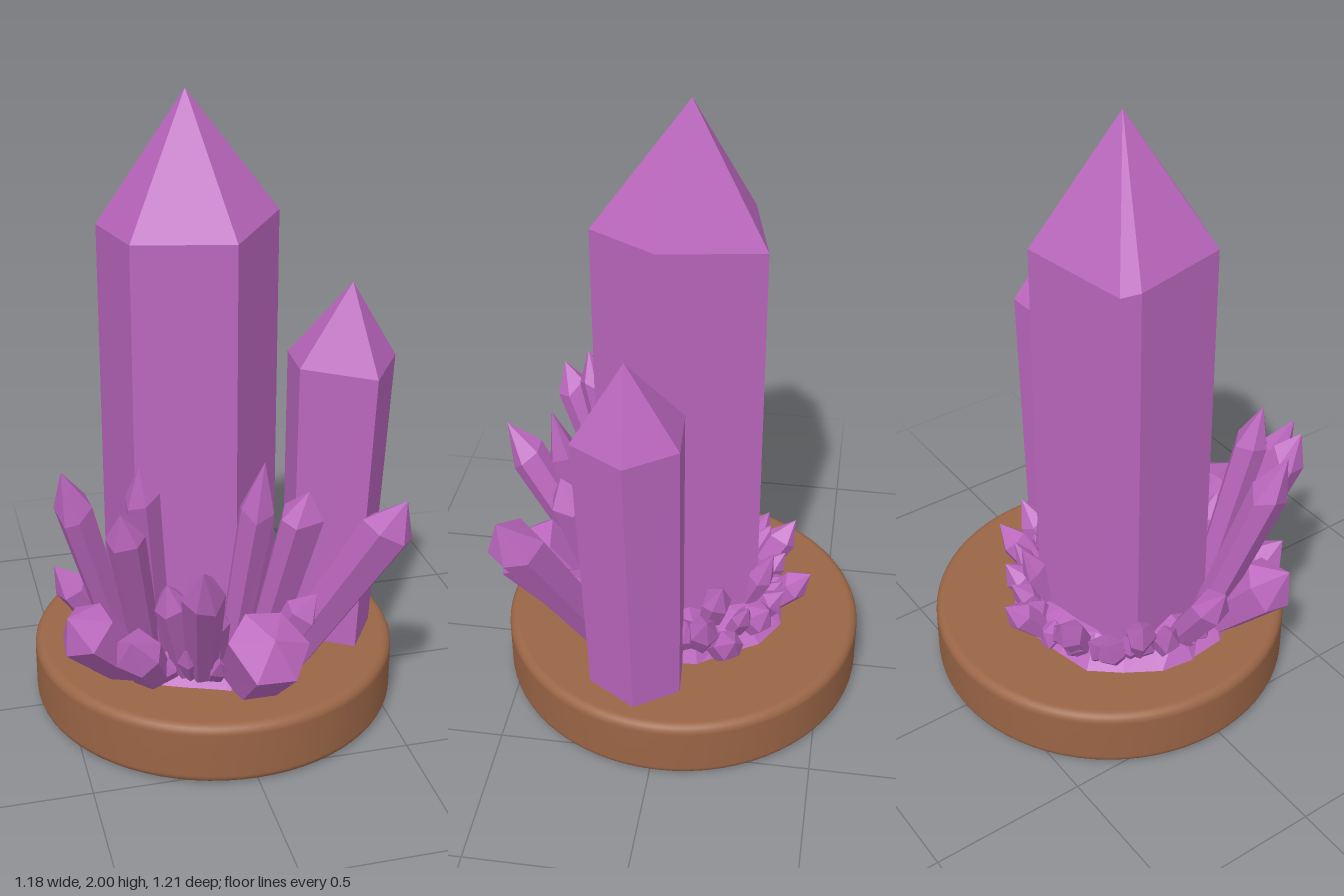
import * as THREE from 'three';

const V = (x, y, z) => new THREE.Vector3(x, y, z);

// Small seeded random source for irregular facets
let seed = 7;
const rnd = () => (seed = (seed * 16807) % 2147483647) / 2147483647;
const jitter = (amount) => (rnd() - 0.5) * 2 * amount;

// Pointed prism from a lower ring, a shoulder ring (both counterclockwise seen from the tip) and a tip
function prismGeometry(low, high, tip) {
  const pos = [];
  const n = low.length;
  const tri = (...points) => points.forEach((p) => pos.push(p.x, p.y, p.z));
  for (let i = 0; i < n; i++) {
    const j = (i + 1) % n;
    tri(low[i], low[j], high[j]);
    tri(low[i], high[j], high[i]);
    tri(high[i], high[j], tip);
    if (i > 0 && i < n - 1) tri(low[0], low[j], low[i]);
  }
  const geometry = new THREE.BufferGeometry();
  geometry.setAttribute('position', new THREE.Float32BufferAttribute(pos, 3));
  geometry.computeVertexNormals();
  return geometry;
}

// Leaning crystal along the line from foot to tip
function leaningCrystal(foot, tip, radius, shoulder = 0.78, sides = 6) {
  const axis = tip.clone().sub(foot);
  const w = axis.clone().normalize();
  const u = V(w.z, 0.01, -w.x).cross(w).normalize();
  const v = w.clone().cross(u);
  const turn = rnd() * 6;
  const angles = Array.from({ length: sides }, (_, i) => turn + ((i + jitter(0.2)) / sides) * Math.PI * 2);
  const ring = (t, r, wobble) => angles.map((a) => foot.clone()
    .addScaledVector(axis, t + jitter(wobble))
    .addScaledVector(u, Math.cos(a) * r)
    .addScaledVector(v, Math.sin(a) * r));
  return prismGeometry(ring(0, radius * 0.75, 0), ring(shoulder, radius, 0.04), tip);
}

export function createModel() {
  seed = 7;
  const group = new THREE.Group();
  const purple = new THREE.MeshStandardMaterial({ color: 0xba66bd, flatShading: true });
  purple.name = 'amethystPurple';
  const brown = new THREE.MeshStandardMaterial({ color: 0x9a6546 });
  brown.name = 'woodBrown';
  const add = (name, geometry, material = purple) => {
    const mesh = new THREE.Mesh(geometry, material);
    mesh.name = name;
    group.add(mesh);
    return mesh;
  };

  // Round wooden stand with softened rims
  const R = 0.59, f = 0.03, y0 = 0.005, y1 = 0.21;
  const profile = [new THREE.Vector2(0, y0)];
  for (let i = 0; i <= 6; i++) {
    const a = -Math.PI / 2 + (i / 6) * Math.PI / 2;
    profile.push(new THREE.Vector2(R - f + f * Math.cos(a), y0 + f + f * Math.sin(a)));
  }
  for (let i = 0; i <= 6; i++) {
    const a = (i / 6) * Math.PI / 2;
    profile.push(new THREE.Vector2(R - f + f * Math.cos(a), y1 - f + f * Math.sin(a)));
  }
  profile.push(new THREE.Vector2(0, y1));
  add('stand', new THREE.LatheGeometry(profile, 72), brown).position.z = -0.025;

  // Main crystal: x, z and shoulder height of each corner
  const main = [[0.19, 0.03, 1.64], [0.043, -0.277, 1.59], [-0.307, -0.205, 1.57],
    [-0.333, -0.15, 1.58], [-0.288, 0.155, 1.6], [0.005, 0.257, 1.61]];
  add('mainCrystal', prismGeometry(
    main.map(([x, z]) => V(x, 0.2, z)), main.map(([x, z, y]) => V(x, y, z)), V(-0.08, 2, -0.035)));

  // Second crystal, narrower towards its foot
  const second = [[0.563, 0.07, 1.16], [0.457, -0.08, 1.16], [0.253, -0.065, 1.15],
    [0.237, 0.12, 1.16], [0.447, 0.243, 1.15]];
  add('secondCrystal', prismGeometry(
    second.map(([x, z]) => V(0.375 + (x - 0.4) * 0.86, 0.2, 0.07 + (z - 0.08) * 0.9)),
    second.map(([x, z, y]) => V(x, y, z)), V(0.41, 1.415, 0.085)));

  // Front cluster: foot x, z, then tip x, y, z, then radius and shoulder position
  const front = [
    [-0.31, 0.1, -0.525, 0.965, 0.26, 0.062, 0.82],
    [-0.25, 0.16, -0.385, 0.9, 0.44, 0.06, 0.88],
    [-0.22, 0.17, -0.31, 1.0, 0.34, 0.055, 0.85],
    [-0.1, 0.24, -0.18, 0.77, 0.6, 0.065, 0.8],
    [-0.02, 0.24, 0.055, 0.99, 0.385, 0.055, 0.8],
    [0.03, 0.28, 0.05, 0.48, 0.54, 0.125, 0.82],
    [0.1, 0.17, 0.21, 0.85, 0.33, 0.07, 0.88],
    [0.17, 0.21, 0.47, 0.855, 0.47, 0.085, 0.83],
    [-0.27, 0.15, -0.53, 0.5, 0.3, 0.095, 0.75],
    [-0.24, 0.2, -0.36, 0.46, 0.42, 0.075, 0.75],
    [-0.3, 0.0, -0.53, 0.54, 0.04, 0.06, 0.75],
    [-0.14, 0.24, -0.24, 0.62, 0.38, 0.055, 0.8],
    [0.1, 0.22, 0.24, 0.5, 0.34, 0.06, 0.78],
    [-0.07, 0.25, -0.09, 0.52, 0.36, 0.05, 0.75],
  ];
  front.forEach(([fx, fz, x, y, z, r, s], i) =>
    add('frontCrystal' + (i + 1), leaningCrystal(V(fx, 0.18, fz), V(x, y, z), r, s)));

  // Short crystals round the back: tip x, y, z and radius
  const back = [
    [-0.02, 0.37, -0.45, 0.05], [-0.24, 0.42, -0.38, 0.05], [-0.35, 0.36, -0.28, 0.05],
    [-0.4, 0.42, -0.18, 0.05], [0.17, 0.36, -0.33, 0.055], [0.06, 0.5, -0.33, 0.045],
    [0.35, 0.37, -0.24, 0.05], [0.35, 0.44, -0.15, 0.05], [0.2, 0.46, -0.18, 0.05],
  ];
  back.forEach(([x, y, z, r], i) =>
    add('backCrystal' + (i + 1), leaningCrystal(V(x * 0.62 - 0.03, 0.18, z * 0.62), V(x, y, z), r, 0.7)));

  // Faceted rock skirt under the crystals
  const count = 20;
  const skirt = (r, y, dy) => Array.from({ length: count }, (_, i) => {
    const a = (i / count) * Math.PI * 2;
    const k = r * (1 + jitter(0.07));
    return V(-0.05 + Math.cos(a) * k, y + jitter(dy), -Math.sin(a) * k);
  });
  add('rockSkirt', prismGeometry(skirt(0.37, 0.2, 0), skirt(0.3, 0.28, 0.04), V(-0.06, 0.34, 0)));

  // Tiny shards filling the gaps around the skirt
  for (let i = 0; i < 30; i++) {
    const a = ((i + jitter(0.3)) / 30) * Math.PI * 2;
    const reach = 0.35 + rnd() * 0.06;
    const foot = V(-0.05 + Math.cos(a) * 0.26, 0.18, Math.sin(a) * 0.26);
    const tip = V(-0.05 + Math.cos(a) * reach, 0.27 + rnd() * 0.13, Math.sin(a) * reach);
    add('shard' + (i + 1), leaningCrystal(foot, tip, 0.03 + rnd() * 0.02, 0.7, 5));
  }
  return group;
}
